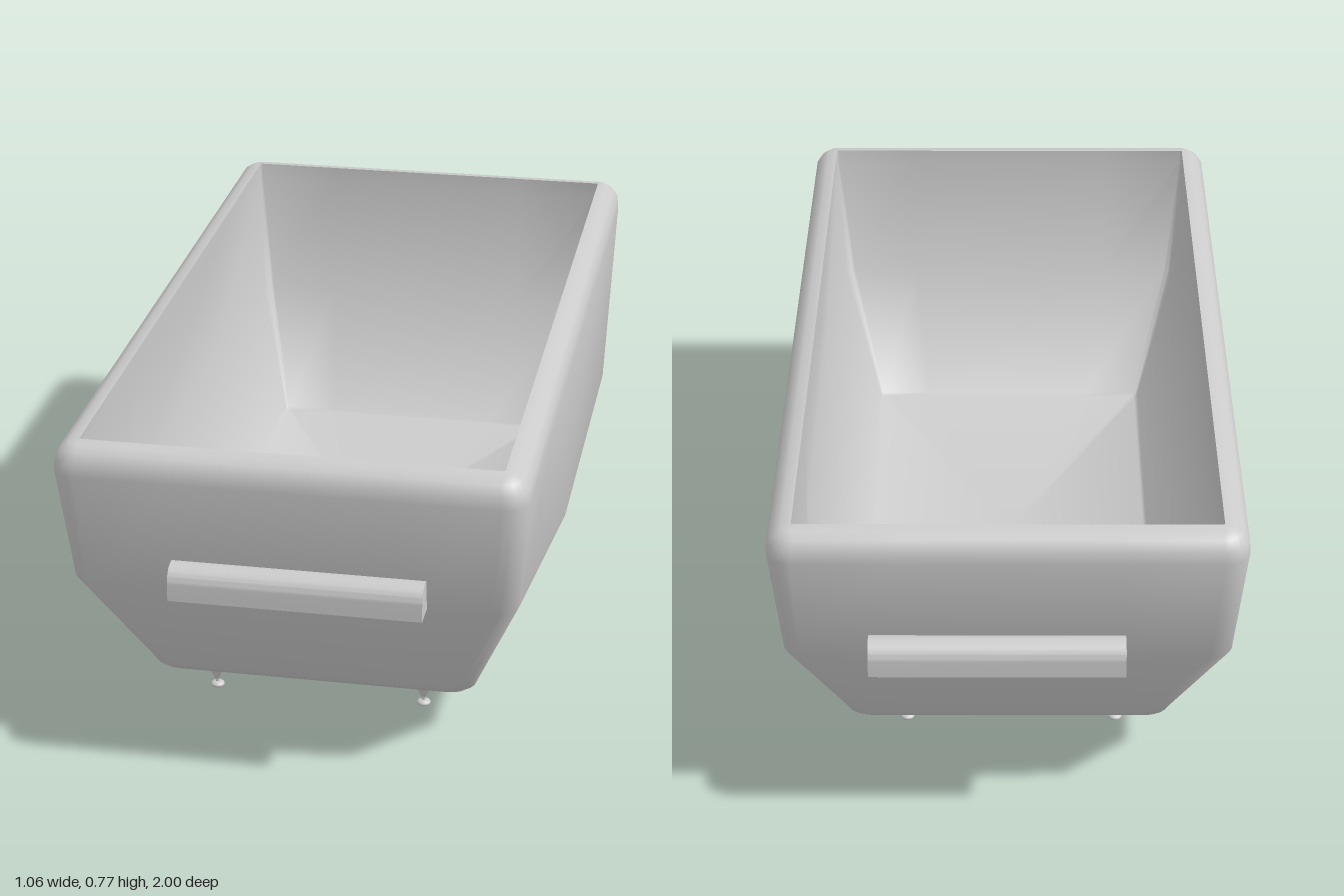
import * as THREE from 'three';
import { toCreasedNormals } from 'three/addons/utils/BufferGeometryUtils.js';

const material = new THREE.MeshStandardMaterial({ color: 0xcccccc });
const thinMaterial = new THREE.MeshStandardMaterial({ color: 0xcccccc, side: THREE.DoubleSide });

function add(parent, name, geometry, mat = material) {
  const mesh = new THREE.Mesh(geometry, mat);
  mesh.name = name;
  parent.add(mesh);
  return mesh;
}

// One horizontal section: a rounded rectangle whose long sides and ends can bulge
function section({ y, x, z, r, side = x, end = z }) {
  const quarter = [[side, Math.min(0.41, z * 0.6)]];
  for (let i = 0; i <= 5; i++) {
    const a = (i / 5) * Math.PI / 2;
    quarter.push([x - r + r * Math.cos(a), z - r + r * Math.sin(a)]);
  }
  quarter.push([Math.min(0.25, x * 0.6), end]);
  const flip = (sx, sz, list) => list.map(([px, pz]) => [px * sx, pz * sz]);
  const back = [...quarter].reverse();
  return [...quarter, ...flip(-1, 1, back), ...flip(-1, -1, quarter), ...flip(1, -1, back)]
    .map(([px, pz]) => [px, y, pz]);
}

// Skin a closed surface over successive sections
function loft(sections) {
  const rings = sections.map(section);
  const n = rings[0].length;
  const index = [];
  for (let i = 0; i < rings.length - 1; i++) {
    for (let j = 0; j < n; j++) {
      const a = i * n + j, b = i * n + (j + 1) % n;
      index.push(a, a + n, b, b, a + n, b + n);
    }
  }
  const geometry = new THREE.BufferGeometry();
  geometry.setAttribute('position', new THREE.Float32BufferAttribute(rings.flat(2), 3));
  geometry.setIndex(index);
  return toCreasedNormals(geometry, 0.75);
}

// Grab handle: hooked half-round bar, hollow beneath, closed at both ends
function makeHandle(width) {
  const handle = new THREE.Group();
  const outline = (inset) => {
    const s = new THREE.Shape();
    s.moveTo(0.925, 0.445);
    s.lineTo(1 - inset, 0.445);
    s.lineTo(1 - inset, 0.483);
    s.absarc(0.963, 0.483, 0.037 - inset, 0, Math.PI, false);
    s.lineTo(0.925, 0.483);
    return s;
  };
  const bar = new THREE.Shape();
  bar.moveTo(0.988, 0.445);
  bar.lineTo(1, 0.445);
  bar.lineTo(1, 0.483);
  bar.absarc(0.963, 0.483, 0.037, 0, Math.PI, false);
  bar.lineTo(0.938, 0.483);
  bar.absarc(0.963, 0.483, 0.025, Math.PI, 0, true);
  const extrude = (shape, depth) => toCreasedNormals(
    new THREE.ExtrudeGeometry(shape, { depth, bevelEnabled: false, curveSegments: 14 })
      .translate(0, 0, -depth / 2).rotateY(-Math.PI / 2), 0.6);
  add(handle, 'handleBar', extrude(bar, width), thinMaterial);
  for (const s of [-1, 1]) {
    add(handle, 'handleEnd', extrude(outline(0), 0.008)).position.x = s * (width / 2 - 0.004);
  }
  return handle;
}

// Foot: inverted pyramid on a small round pad
function makeFoot() {
  const foot = new THREE.Group();
  const leg = new THREE.ConeGeometry(0.05, 0.1, 4).toNonIndexed();
  leg.rotateY(Math.PI / 4).rotateX(Math.PI).translate(0, 0.06, 0);
  leg.computeVertexNormals();
  add(foot, 'footLeg', leg);
  add(foot, 'footStem', new THREE.CylinderGeometry(0.005, 0.005, 0.02, 12)).position.y = 0.018;
  const pad = add(foot, 'footPad', new THREE.SphereGeometry(0.016, 20, 12));
  pad.scale.y = 0.5;
  pad.position.y = 0.008;
  return foot;
}

export function createModel() {
  const model = new THREE.Group();
  model.name = 'bathtub';

  // Tub: underside, outer wall, rolled rim, inner wall and floor in one skin
  const tub = add(model, 'tub', loft([
    { y: 0.105, x: 0, z: 0, r: 0 },
    { y: 0.105, x: 0.335, z: 0.675, r: 0.04 },
    { y: 0.11, x: 0.355, z: 0.692, r: 0.045 },
    { y: 0.122, x: 0.369, z: 0.705, r: 0.05 },
    { y: 0.145, x: 0.378, z: 0.718, r: 0.05 },
    { y: 0.435, x: 0.487, z: 0.92, r: 0.05, side: 0.532, end: 0.932 },
    { y: 0.705, x: 0.512, z: 0.965, r: 0.055 },
    { y: 0.735, x: 0.509, z: 0.963, r: 0.053 },
    { y: 0.756, x: 0.496, z: 0.95, r: 0.045 },
    { y: 0.767, x: 0.478, z: 0.932, r: 0.025 },
    { y: 0.77, x: 0.456, z: 0.908, r: 0.004 },
    { y: 0.735, x: 0.456, z: 0.908, r: 0.004 },
    { y: 0.435, x: 0.435, z: 0.865, r: 0.02, side: 0.472, end: 0.87 },
    { y: 0.165, x: 0.343, z: 0.675, r: 0.01 },
    { y: 0.16, x: 0.335, z: 0.667, r: 0.01 },
    { y: 0.16, x: 0, z: 0, r: 0 },
  ]));
  tub.position.set(-0.003, 0, 0.006);

  // Handles at both ends
  for (const [name, turn] of [['frontHandle', 0], ['backHandle', Math.PI]]) {
    const handle = makeHandle(0.55);
    handle.name = name;
    handle.position.x = 0.02;
    handle.rotation.y = turn;
    model.add(handle);
  }

  // Four feet
  for (const sx of [-1, 1]) {
    for (const sz of [-1, 1]) {
      const foot = makeFoot();
      foot.name = (sz > 0 ? 'front' : 'back') + (sx > 0 ? 'Left' : 'Right') + 'Foot';
      foot.position.set(-0.01 + sx * 0.243, 0, 0.012 + sz * 0.562);
      model.add(foot);
    }
  }

  // Drain: shallow square collar above the floor and a plate beneath
  const collar = new THREE.Shape([[-1, -1], [1, -1], [1, 1], [-1, 1]]
    .map(([u, v]) => new THREE.Vector2(u * 0.033, v * 0.036)));
  collar.holes.push(new THREE.Path([[-1, -1], [-1, 1], [1, 1], [1, -1]]
    .map(([u, v]) => new THREE.Vector2(u * 0.02, v * 0.023))));
  const collarGeometry = new THREE.ExtrudeGeometry(collar, { depth: 0.004, bevelEnabled: false });
  add(model, 'drainCollar', collarGeometry.rotateX(-Math.PI / 2)).position.set(-0.007, 0.159, 0.002);
  add(model, 'drainPlate', new THREE.BoxGeometry(0.072, 0.008, 0.076)).position.set(-0.004, 0.104, 0.005);

  return model;
}
